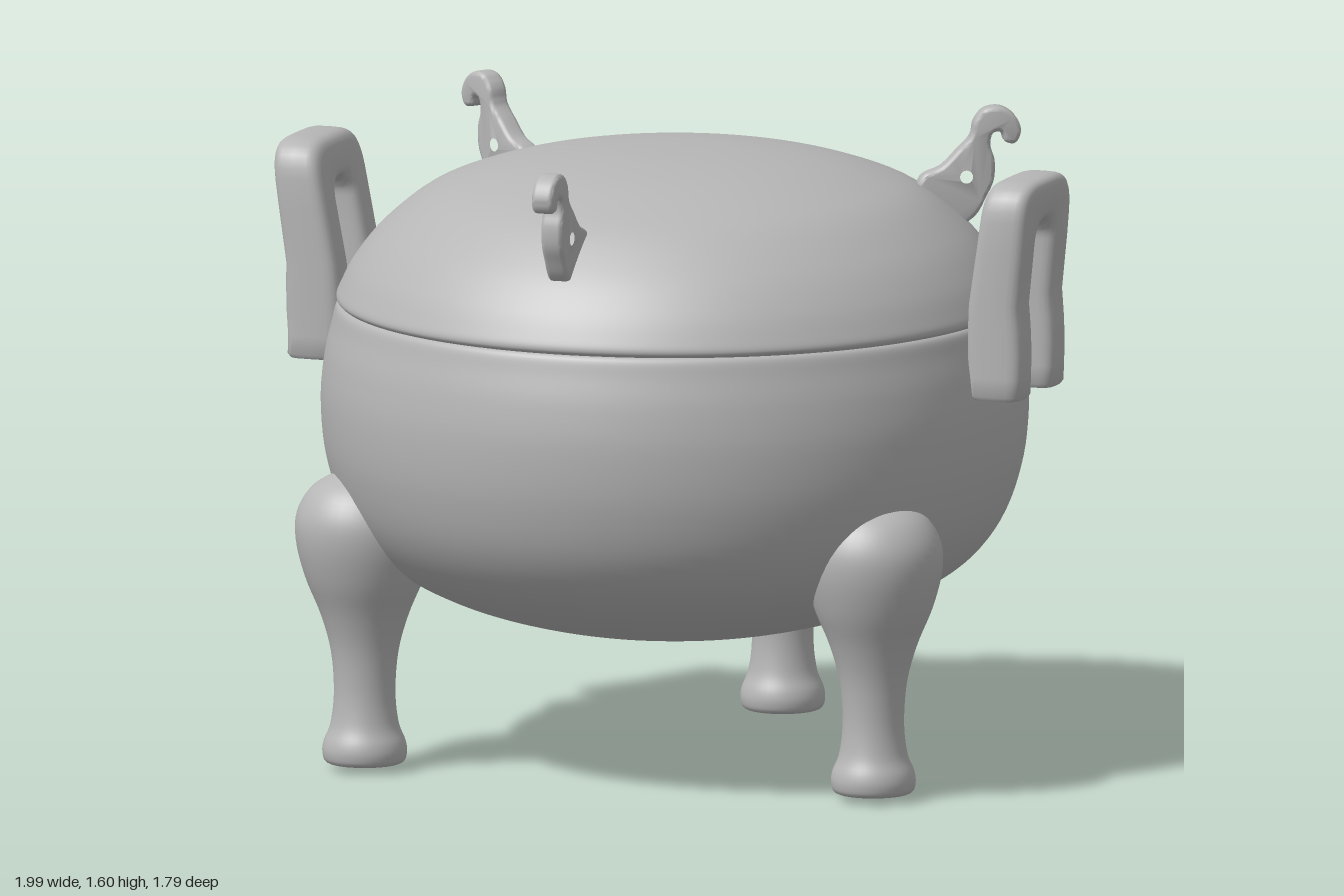
import * as THREE from 'three';
import { toCreasedNormals } from 'three/addons/utils/BufferGeometryUtils.js';

const V = (x, y) => new THREE.Vector2(x, y);
const CENTRE = { x: 0.01, z: 0.02 };

// Smooth lathe from [radius, height] pairs, bottom to top
function turned(pairs, steps, sides) {
  const curve = new THREE.SplineCurve(pairs.map(([r, y]) => V(r, y)));
  const pts = curve.getPoints(steps).map((p) => V(Math.max(p.x, 0), p.y));
  return new THREE.LatheGeometry(pts, sides);
}

// Linear lookup in [y, value] pairs
function lookup(table, y) {
  for (let i = 1; i < table.length; i++) {
    const [y0, a] = table[i - 1], [y1, b] = table[i];
    if (y <= y1 || i === table.length - 1) return a + (b - a) * (y - y0) / (y1 - y0);
  }
}

const spow = (v, e) => Math.sign(v) * Math.abs(v) ** e;

// Upright loop handle: a rounded bar between a slot and an outer arch, bent outward by height
function handleGeometry(middle, half) {
  const stations = [];
  const levels = [0.965, 0.975, 1.02, 1.08, 1.14, 1.2, 1.27];
  const spring = 1.335;
  levels.forEach((y) => stations.push([V(-0.055, y), V(-0.165, y)]));
  for (let k = 0; k <= 20; k++) {
    const c = -Math.cos(Math.PI * k / 20), s = Math.sin(Math.PI * k / 20);
    stations.push([
      V(0.055 * c, spring + 0.055 * s),
      V(0.165 * spow(c, 0.45), spring + 0.165 * Math.max(s, 0) ** 0.45),
    ]);
  }
  levels.slice().reverse().forEach((y) => stations.push([V(0.055, y), V(0.165, y)]));

  const n = 24, pos = [], index = [];
  const last = stations.length - 1;
  stations.forEach(([inner, outer], i) => {
    const shrink = i === 0 || i === last ? 0.88 : 1;
    for (let j = 0; j < n; j++) {
      const a = 2 * Math.PI * j / n;
      const p = inner.clone().lerp(outer, 0.5 + 0.5 * shrink * spow(Math.cos(a), 0.5));
      pos.push(lookup(middle, p.y) + lookup(half, p.y) * shrink * spow(Math.sin(a), 0.5), p.y, p.x);
      if (i < last) {
        const q = i * n + j, r = i * n + (j + 1) % n;
        index.push(q, q + n, r, r, q + n, r + n);
      }
    }
  });
  // End caps
  const c0 = pos.length / 3;
  for (const i of [0, last]) {
    const p = stations[i][0].clone().lerp(stations[i][1], 0.5);
    pos.push(lookup(middle, p.y), p.y, p.x);
  }
  for (let j = 0; j < n; j++) {
    const k = (j + 1) % n;
    index.push(c0, j, k, c0 + 1, last * n + k, last * n + j);
  }
  const g = new THREE.BufferGeometry();
  g.setAttribute('position', new THREE.Float32BufferAttribute(pos, 3));
  g.setIndex(index);
  return toCreasedNormals(g, 0.8);
}

// Pierced lug with a hook on top; x points outward, origin at the hole
function lugGeometry() {
  const outline = [
    [-0.11, 0], [-0.06, 0.025], [-0.02, 0.065], [0.012, 0.1], [0.02, 0.135], [0.045, 0.165],
    [0.085, 0.17], [0.12, 0.148], [0.135, 0.11], [0.12, 0.08], [0.095, 0.085], [0.085, 0.108],
    [0.066, 0.105], [0.06, 0.075], [0.07, 0.04], [0.068, -0.01], [0.05, -0.05], [0.02, -0.1],
    [-0.05, -0.13], [-0.12, -0.07],
  ].map(([x, y]) => new THREE.Vector3(x, y, 0));
  const curve = new THREE.CatmullRomCurve3(outline, true);
  const shape = new THREE.Shape(curve.getPoints(80).slice(0, -1).map((p) => V(p.x, p.y)));
  const hole = new THREE.Path();
  hole.absarc(0, 0, 0.026, 0, Math.PI * 2, true);
  shape.holes.push(hole);
  const g = new THREE.ExtrudeGeometry(shape, {
    depth: 0.032, bevelEnabled: true, bevelThickness: 0.012, bevelSize: 0.01,
    bevelOffset: -0.01, bevelSegments: 3, curveSegments: 20,
  });
  g.translate(0, 0, -0.016);
  return toCreasedNormals(g, 0.8);
}

export function createModel() {
  const group = new THREE.Group();
  const grey = new THREE.MeshStandardMaterial({ color: 0xb6b6b6 });
  grey.name = 'clay grey';
  const add = (name, geometry, x = 0, y = 0, z = 0, turn = 0) => {
    const m = new THREE.Mesh(geometry, grey);
    m.name = name;
    m.position.set(x, y, z);
    m.rotation.y = turn;
    group.add(m);
    return m;
  };

  // Bowl and domed lid, meeting at a shallow seam
  add('bowl', turned([
    [0, 0.32], [0.2, 0.328], [0.38, 0.358], [0.56, 0.415], [0.71, 0.5], [0.8, 0.61],
    [0.848, 0.75], [0.862, 0.89], [0.853, 1.0], [0.835, 1.08], [0.825, 1.12], [0.812, 1.132],
  ], 60, 96), CENTRE.x, 0, CENTRE.z);
  add('lid', turned([
    [0.812, 1.128], [0.824, 1.142], [0.815, 1.17], [0.78, 1.235], [0.715, 1.315], [0.61, 1.4],
    [0.5, 1.447], [0.36, 1.483], [0.18, 1.505], [0, 1.51],
  ], 50, 96), CENTRE.x, 0, CENTRE.z);

  // Three legs with bulging knees and flared feet
  const leg = turned([
    [0, 0], [0.05, 0], [0.092, 0.003], [0.103, 0.025], [0.1, 0.055], [0.083, 0.1], [0.075, 0.18],
    [0.083, 0.28], [0.108, 0.37], [0.145, 0.46], [0.168, 0.55], [0.165, 0.62], [0.13, 0.68],
    [0.07, 0.715], [0, 0.725],
  ], 60, 40);
  add('leftLeg', leg, 0.67, 0.015, 0.38);
  add('rightLeg', leg, -0.64, 0.015, 0.43);
  add('backLeg', leg, -0.005, 0, -0.735);

  // Upright handles on either side
  const half = [[0.96, 0.068], [1.1, 0.074], [1.2, 0.068], [1.5, 0.06]];
  add('leftHandle', handleGeometry(
    [[0.96, 0.905], [1.03, 0.905], [1.2, 0.902], [1.36, 0.922], [1.5, 0.936]], half), 0, 0, 0.025);
  add('rightHandle', handleGeometry(
    [[0.96, 0.885], [1.03, 0.88], [1.2, 0.888], [1.36, 0.915], [1.5, 0.938]], half),
  0, -0.012, 0.01, Math.PI);

  // Three hooked lugs around the lid
  const lug = lugGeometry();
  [['frontLug', -0.005, 1.4, 0.737], ['leftLug', 0.635, 1.425, -0.32], ['rightLug', -0.575, 1.425, -0.325]]
    .forEach(([name, x, y, z]) => {
      add(name, lug, x, y, z, Math.atan2(-(z - CENTRE.z), name === 'frontLug' ? 0 : x - CENTRE.x));
    });

  return group;
}
